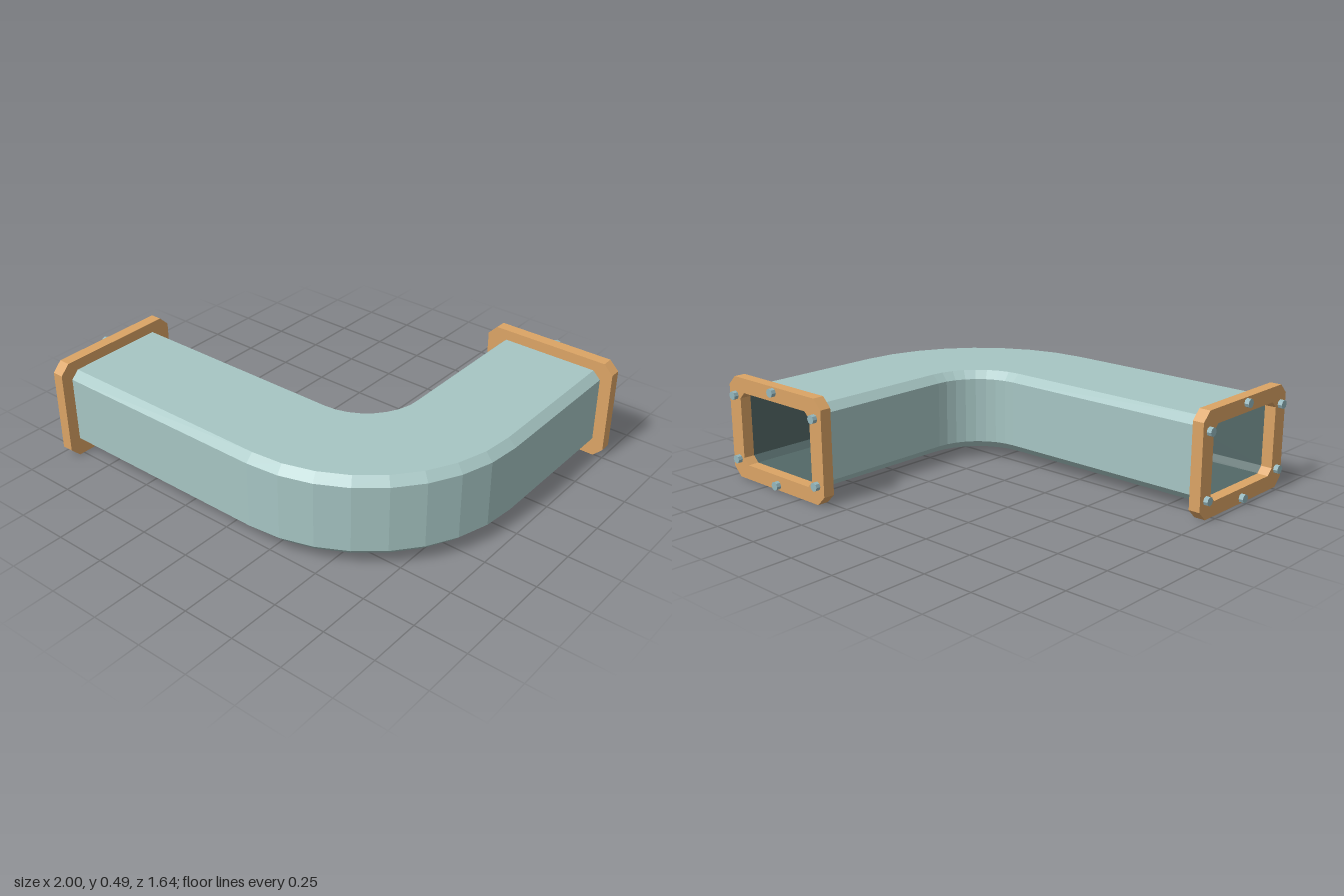
import * as THREE from 'three';

const W = 0.54, H = 0.39, WALL = 0.02, MID_Y = 0.245;
const FLANGE_W = 0.66, FLANGE_H = 0.49, FLANGE_T = 0.055;

// Rectangle with cut corners, counter-clockwise
function chamferedRect(w, h, c) {
  const x = w / 2, y = h / 2;
  return [[x, c - y], [x, y - c], [x - c, y], [c - x, y],
    [-x, y - c], [-x, c - y], [c - x, -y], [x - c, -y]].map(p => new THREE.Vector2(...p));
}

// Stations along the elbow: centre point and the direction to the outside of the bend
function ductStations() {
  const cx = 0.15, cz = -0.028, r = 0.522, steps = 8;
  const list = [{ x: -0.923, z: cz + r, nx: 0, nz: 1 }];
  for (let i = 0; i <= steps; i++) {
    const a = i / steps * Math.PI / 2, nx = Math.sin(a), nz = Math.cos(a);
    list.push({ x: cx + nx * r, z: cz + nz * r, nx, nz });
  }
  list.push({ x: cx + r, z: -0.745, nx: 1, nz: 0 });
  return list;
}

// Sweep a section along the stations as flat faces
function sweep(section, inward) {
  const stations = ductStations(), pos = [];
  const at = (s, p) => [s.x + s.nx * p.x, MID_Y + p.y, s.z + s.nz * p.x];
  for (let i = 0; i < stations.length - 1; i++) {
    for (let j = 0; j < section.length; j++) {
      const p = section[j], q = section[(j + 1) % section.length];
      const a = at(stations[i], p), b = at(stations[i], q);
      const c = at(stations[i + 1], q), d = at(stations[i + 1], p);
      const tris = inward ? [a, b, c, a, c, d] : [a, c, b, a, d, c];
      tris.forEach(v => pos.push(...v));
    }
  }
  const g = new THREE.BufferGeometry();
  g.setAttribute('position', new THREE.Float32BufferAttribute(pos, 3));
  g.computeVertexNormals();
  return g;
}

export function createModel() {
  const model = new THREE.Group();
  model.name = 'ductElbow';

  const material = (name, color) => {
    const m = new THREE.MeshStandardMaterial({ color });
    m.name = name;
    return m;
  };
  const ductPaint = material('greyTealPaint', 0xa6c5c3);
  const innerPaint = material('darkTealLining', 0x536867);
  const flangePaint = material('ochrePaint', 0xdba465);
  const boltSteel = material('boltSteel', 0x96b8be);
  const add = (parent, name, geometry, mat) => {
    const mesh = new THREE.Mesh(geometry, mat);
    mesh.name = name;
    parent.add(mesh);
    return mesh;
  };

  // Hollow duct with a darker lining
  const opening = chamferedRect(W - 2 * WALL, H - 2 * WALL, 0.03);
  add(model, 'ductOuter', sweep(chamferedRect(W, H, 0.037), false), ductPaint);
  add(model, 'ductInner', sweep(opening, true), innerPaint);

  // End flange frame, local +z pointing out of the duct
  const shape = new THREE.Shape(chamferedRect(FLANGE_W, FLANGE_H, 0.045));
  shape.holes.push(new THREE.Path(opening.slice().reverse()));
  const frame = new THREE.ExtrudeGeometry(shape, { depth: FLANGE_T, bevelEnabled: false });
  const bolt = new THREE.CylinderGeometry(0.021, 0.021, 0.03, 8).rotateX(Math.PI / 2).toNonIndexed();
  bolt.computeVertexNormals();

  function addFlange(name, x, z, turn) {
    const group = new THREE.Group();
    group.name = name;
    group.position.set(x, MID_Y, z);
    group.rotation.y = turn;
    add(group, 'frame', frame, flangePaint);
    // Corner bolts sit closer to mid height than the middle ones
    for (const sy of [-1, 1]) {
      for (const sx of [-1, 0, 1]) {
        const y = sy * (sx ? 0.155 : 0.22);
        add(group, 'bolt', bolt, boltSteel).position.set(sx * 0.285, y, FLANGE_T + 0.007);
      }
    }
    model.add(group);
  }
  addFlange('leftEndFlange', -0.923, 0.49, -Math.PI / 2);
  addFlange('rearEndFlange', 0.67, -0.745, Math.PI);

  return model;
}
